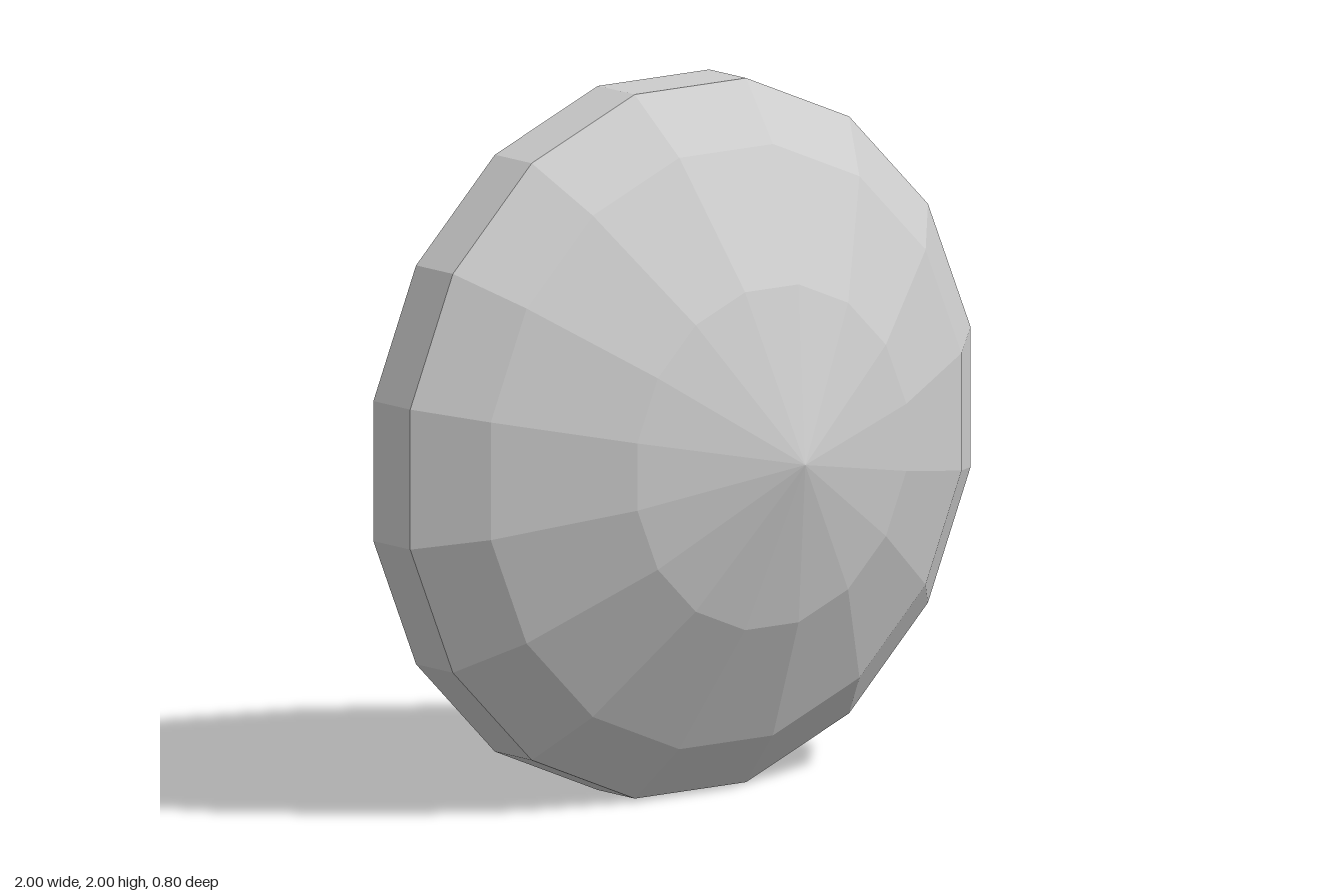
import * as THREE from 'three';

export function createModel() {
  const group = new THREE.Group();
  group.name = 'facetedShell';

  const grey = new THREE.MeshStandardMaterial({ color: 0xcccccc, flatShading: true, side: THREE.DoubleSide });
  grey.name = 'light grey';

  const SIDES = 16;
  const step = (Math.PI * 2) / SIDES;
  const toCorner = 1 / Math.cos(step / 2); // flat-to-flat radius -> corner radius

  // Revolves [radius, z] pairs around the front axis, with flats on top and at the sides
  function addRing(name, profile) {
    const points = profile.map(([r, z]) => new THREE.Vector2(r * toCorner, z));
    const geometry = new THREE.LatheGeometry(points, SIDES, step / 2);
    geometry.rotateX(Math.PI / 2);
    geometry.translate(0, 1, 0);
    const mesh = new THREE.Mesh(geometry, grey);
    mesh.name = name;
    group.add(mesh);
  }

  // Flat lip around the open back
  addRing('backLip', [[0.795, -0.4], [0.9, -0.4]]);
  // Bevel and straight band around the edge
  addRing('edgeBand', [[0.9, -0.4], [1, -0.28], [1, -0.115]]);
  // Pointed dome, hollow behind
  addRing('dome', [[1, -0.115], [0.84, 0.045], [0.48, 0.25], [0, 0.4]]);

  return group;
}
